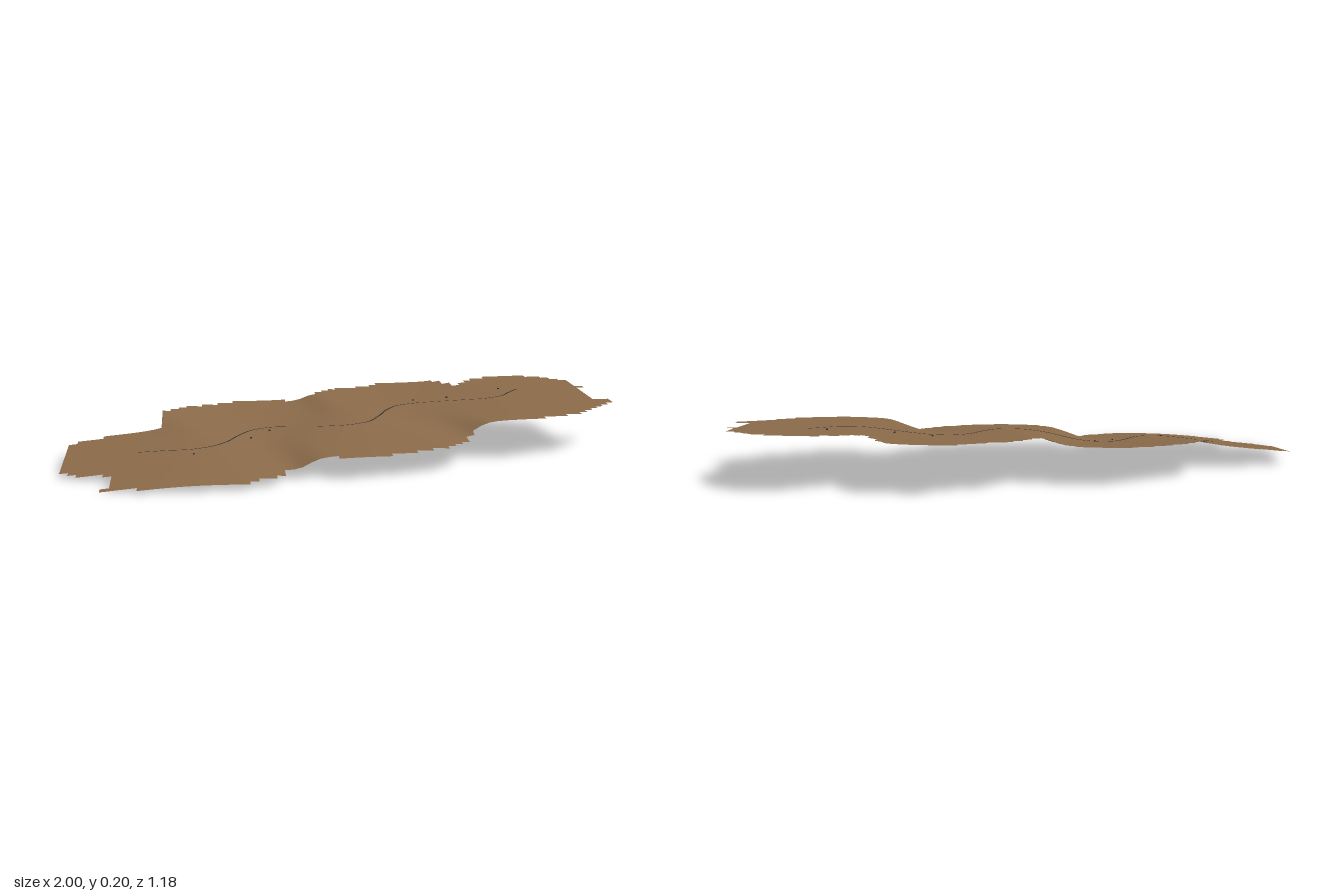
import * as THREE from 'three';

// Course of the stream in plan (x, z), from the low end to the high end
const COURSE = [
  [-0.75, 0.19], [-0.66, 0.21], [-0.57, 0.23], [-0.5, 0.21], [-0.45, 0.16], [-0.4, 0.06],
  [-0.35, -0.01], [-0.28, -0.035], [-0.22, -0.015], [-0.12, 0.06], [-0.02, 0.09], [0.06, 0.06],
  [0.11, -0.02], [0.16, -0.13], [0.21, -0.19], [0.28, -0.21], [0.36, -0.2], [0.46, -0.175],
  [0.54, -0.163], [0.61, -0.19], [0.65, -0.24], [0.7, -0.3],
];

// Rim of the ground in plan (x, z); the grid cells inside it are kept
const RIM = [
  [-1.01, 0.05], [-0.97, -0.01], [-0.85, -0.06], [-0.68, -0.06], [-0.68, -0.21], [-0.57, -0.32],
  [-0.44, -0.39], [-0.33, -0.42], [-0.21, -0.41], [-0.21, -0.38], [-0.09, -0.38], [0, -0.49],
  [0.12, -0.53], [0.23, -0.6], [0.35, -0.6], [0.44, -0.56], [0.47, -0.44], [0.55, -0.51],
  [0.64, -0.55], [0.76, -0.56], [0.85, -0.53], [0.94, -0.41], [0.94, -0.33], [0.98, -0.33],
  [0.98, -0.29], [0.94, -0.29], [0.94, -0.1], [1.01, -0.1], [1.01, -0.06], [0.91, 0.06],
  [0.79, 0.15], [0.64, 0.2], [0.41, 0.21], [0.38, 0.29], [0.23, 0.41], [0.05, 0.47],
  [-0.09, 0.47], [-0.09, 0.44], [-0.24, 0.44], [-0.3, 0.52], [-0.42, 0.59], [-0.73, 0.59],
  [-0.73, 0.56], [-0.85, 0.56], [-0.85, 0.53], [-0.82, 0.53], [-0.82, 0.41], [-0.94, 0.37],
  [-1.01, 0.29],
];

const CELL = 2 / 68;
const RISE = 0.068; // climb per unit of length along the stream

const course = new THREE.CatmullRomCurve3(COURSE.map(([x, z]) => new THREE.Vector3(x, 0, z)));
const LENGTH = course.getLength();
const samples = Array.from({ length: 161 }, (_, i) => {
  const u = i / 160;
  return { u, p: course.getPointAt(u), t: course.getTangentAt(u) };
});

// Ground climbs with the nearest reach of the stream and tilts across it
function groundHeight(x, z) {
  const dist = samples.map(({ p }) => (x - p.x) ** 2 + (z - p.z) ** 2);
  const nearest = Math.min(...dist);
  let sum = 0, total = 0;
  samples.forEach(({ u, p, t }, i) => {
    const dx = x - p.x, dz = z - p.z;
    const along = dx * t.x + dz * t.z;
    const across = dx * t.z - dz * t.x;
    const w = Math.exp((nearest - dist[i]) / 0.015);
    sum += w * (0.055 + RISE * (u * LENGTH + along) + (0.13 - 0.1 * u * u) * across);
    total += w;
  });
  return Math.max(0, sum / total);
}

function insideRim(x, z) {
  let inside = false;
  RIM.forEach(([x1, z1], i) => {
    const [x2, z2] = RIM[(i + 1) % RIM.length];
    if ((z1 > z) !== (z2 > z) && x < x1 + ((z - z1) / (z2 - z1)) * (x2 - x1)) inside = !inside;
  });
  return inside;
}

function surface(positions, index) {
  const geo = new THREE.BufferGeometry();
  geo.setAttribute('position', new THREE.Float32BufferAttribute(positions, 3));
  geo.setIndex(index);
  geo.computeVertexNormals();
  return geo;
}

// Square cells with shared corners, giving the stepped rim
function groundGeometry() {
  const positions = [], index = [], corners = new Map();
  const corner = (i, j) => {
    const key = i * 100 + j;
    if (!corners.has(key)) {
      const x = -1 + i * CELL, z = (j - 20) * CELL;
      corners.set(key, positions.length / 3);
      positions.push(x, groundHeight(x, z), z);
    }
    return corners.get(key);
  };
  for (let i = 0; i < 68; i++) {
    for (let j = 0; j < 40; j++) {
      if (!insideRim(-1 + (i + 0.5) * CELL, (j - 19.5) * CELL)) continue;
      const a = corner(i, j), b = corner(i, j + 1), c = corner(i + 1, j + 1), d = corner(i + 1, j);
      index.push(a, b, c, a, c, d);
    }
  }
  return surface(positions, index);
}

// Narrow ribbon lying just above the ground
function streamGeometry(halfWidth) {
  const positions = [], index = [];
  samples.forEach(({ p, t }, i) => {
    const y = groundHeight(p.x, p.z) + 0.002;
    for (const s of [1, -1]) positions.push(p.x + s * t.z * halfWidth, y, p.z - s * t.x * halfWidth);
    const a = i * 2;
    if (i < samples.length - 1) index.push(a, a + 1, a + 3, a, a + 3, a + 2);
  });
  return surface(positions, index);
}

export function createModel() {
  const model = new THREE.Group();
  model.name = 'terrainStrip';
  const earth = new THREE.MeshStandardMaterial({ color: 0x8b6b4a, side: THREE.DoubleSide });
  earth.name = 'earthBrown';
  const dark = new THREE.MeshStandardMaterial({ color: 0x2b2d33, side: THREE.DoubleSide });
  dark.name = 'darkSlate';

  const add = (name, geometry, material) => {
    const mesh = new THREE.Mesh(geometry, material);
    mesh.name = name;
    model.add(mesh);
    return mesh;
  };
  add('ground', groundGeometry(), earth);
  add('stream', streamGeometry(0.003), dark);

  // Tiny stones beside the stream
  const stone = new THREE.BoxGeometry(0.006, 0.004, 0.006);
  for (const [x, z] of [[-0.56, 0.28], [-0.36, 0.09], [-0.29, 0.0], [0.28, -0.26], [0.41, -0.25], [0.63, -0.32]]) {
    add('stone', stone, dark).position.set(x, groundHeight(x, z) + 0.002, z);
  }
  return model;
}
